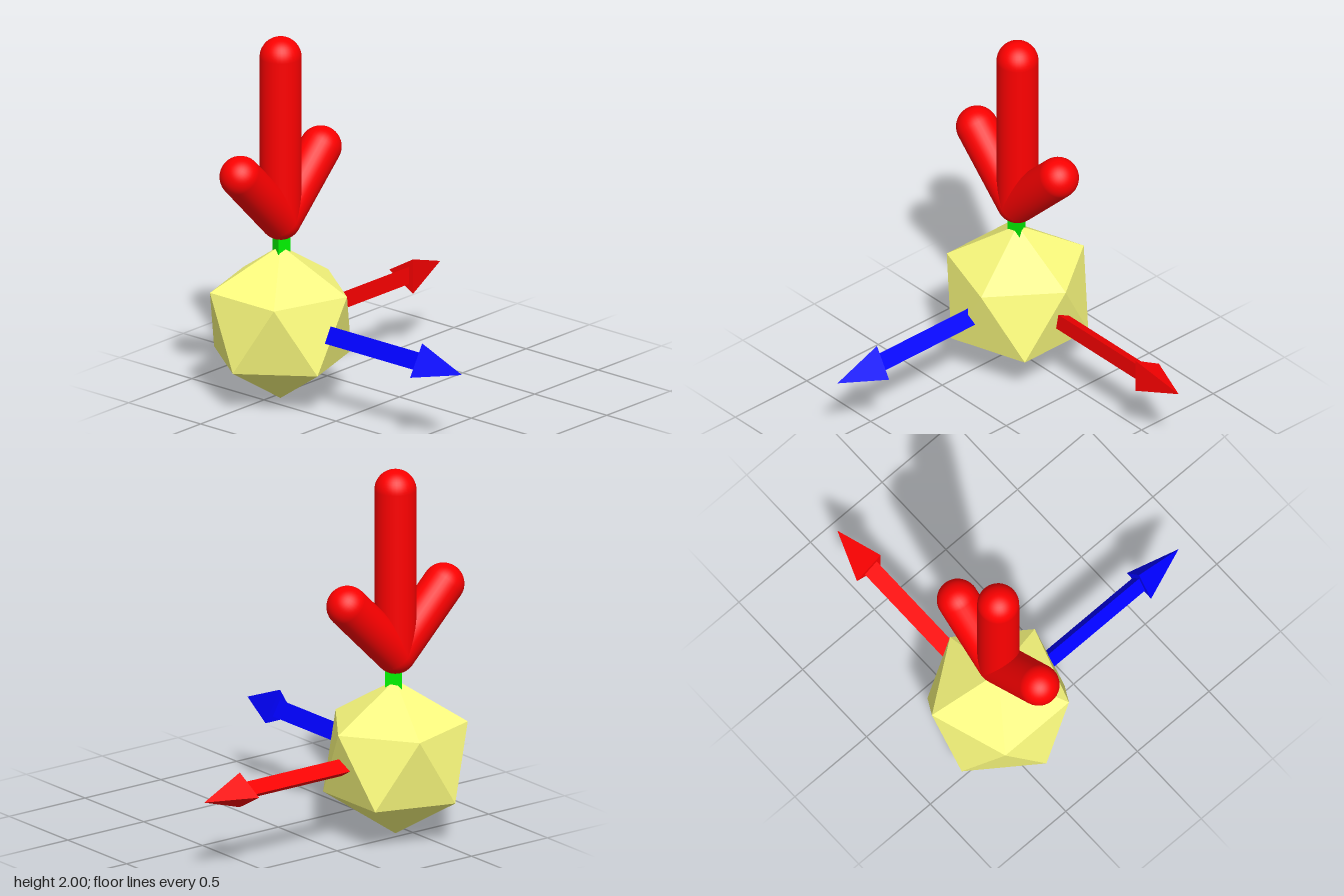
import * as THREE from 'three';

const CENTRE = new THREE.Vector3(-0.42, 0.427, -0.455);
const ARROW = 1.26, HEAD = 0.277;

function mesh(name, geometry, material) {
  const m = new THREE.Mesh(geometry, material);
  m.name = name;
  return m;
}

const paint = (color, flatShading = false) => new THREE.MeshStandardMaterial({ color, flatShading });

// Three-sided arrow pointing along +y, with one edge facing -z
function axisArrow(name, color) {
  const arrow = new THREE.Group();
  arrow.name = name;
  const material = paint(color, true);
  const shaftLength = ARROW - HEAD;
  const shaft = new THREE.CylinderGeometry(0.055, 0.055, shaftLength, 3);
  shaft.rotateY(Math.PI).translate(0, shaftLength / 2, 0);
  const head = new THREE.ConeGeometry(0.11, HEAD, 3);
  head.rotateY(Math.PI).translate(0, ARROW - HEAD / 2, 0);
  arrow.add(mesh(name + 'Shaft', shaft, material), mesh(name + 'Head', head, material));
  arrow.position.copy(CENTRE);
  return arrow;
}

// Round-ended rod whose lower end centre sits at the origin
function rod(name, length, tilt, material) {
  const geometry = new THREE.CapsuleGeometry(0.11, length, 12, 32);
  geometry.translate(0, length / 2, 0);
  const m = mesh(name, geometry, material);
  m.rotation.z = tilt;
  return m;
}

export function createModel() {
  const model = new THREE.Group();
  model.name = 'axisMarker';

  // Faceted ball, turned to stand on one corner
  const ball = new THREE.IcosahedronGeometry(0.422, 0);
  ball.rotateX(-Math.atan((1 + Math.sqrt(5)) / 2)).rotateY(Math.PI / 2);
  const ballMesh = mesh('facetedBall', ball, paint(0xffff80, true));
  ballMesh.position.copy(CENTRE);
  model.add(ballMesh);

  // Axis arrows
  const xArrow = axisArrow('xArrow', 0xff0000);
  xArrow.rotation.z = -Math.PI / 2;
  const yArrow = axisArrow('yArrow', 0x00ff00);
  const zArrow = axisArrow('zArrow', 0x0000ff);
  zArrow.rotation.x = Math.PI / 2;
  model.add(xArrow, yArrow, zArrow);

  // Large rounded pointer aimed down at the ball
  const pointer = new THREE.Group();
  pointer.name = 'pointer';
  const red = paint(0xff0000);
  pointer.add(rod('pointerStem', 0.894, 0, red));
  for (const side of [-1, 1]) {
    pointer.add(rod(side > 0 ? 'leftBarb' : 'rightBarb', 0.447, -side * Math.PI / 4, red));
  }
  pointer.position.set(CENTRE.x, 0.996, CENTRE.z);
  model.add(pointer);

  return model;
}
